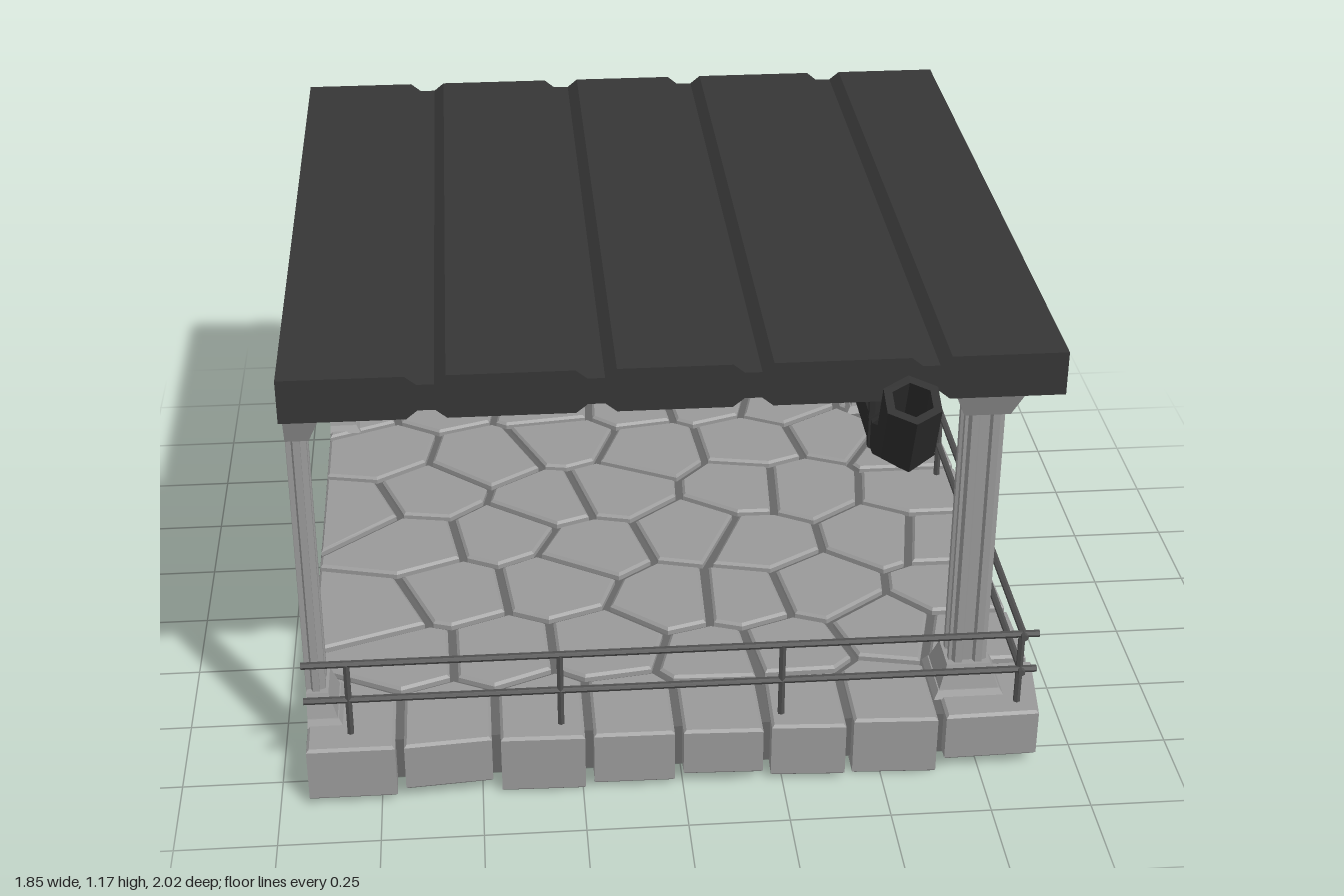
import * as THREE from 'three';

const mat = (name, color, side = THREE.FrontSide) => {
  const m = new THREE.MeshStandardMaterial({ color, side });
  m.name = name;
  return m;
};

export function createModel() {
  const root = new THREE.Group();
  root.name = 'shelter';
  const stone = mat('pale stone', 0x999999);
  const mortar = mat('mortar', 0x666666);
  const panel = mat('dark panel', 0x363636);
  const pipeMat = mat('pipe metal', 0x2c2c2c, THREE.DoubleSide);
  const railMat = mat('rail metal', 0x505050);

  let seed = 11;
  const rnd = () => (seed = (seed * 16807) % 2147483647) / 2147483647;

  const add = (name, geo, material, x = 0, y = 0, z = 0, parent = root) => {
    const g = geo.index ? geo.toNonIndexed() : geo;
    g.computeVertexNormals(); // faceted look
    const m = new THREE.Mesh(g, material);
    m.name = name;
    m.position.set(x, y, z);
    parent.add(m);
    return m;
  };
  const group = (name, x = 0, y = 0, z = 0) => {
    const g = new THREE.Group();
    g.name = name;
    g.position.set(x, y, z);
    root.add(g);
    return g;
  };
  const polygon = pts => new THREE.Shape(pts.map(p => new THREE.Vector2(p[0], p[1])));

  // Panel section with matching grooves in both faces
  const grooved = (x0, x1, low, high, centres, depth) => {
    const notch = (c, y, d) => [[c - 0.047, y], [c - 0.02, y + d], [c + 0.02, y + d], [c + 0.047, y]];
    const bottom = centres.flatMap(c => notch(c, low, depth));
    const top = centres.flatMap(c => notch(c, high, -depth)).reverse();
    return polygon([[x0, low], ...bottom, [x1, low], [x1, high], ...top, [x0, high]]);
  };
  const roof = new THREE.ExtrudeGeometry(
    grooved(-0.93, 0.89, 1.065, 1.175, [-0.592, -0.203, 0.158, 0.57], 0.022), { depth: 1.82, bevelEnabled: false });
  add('roof', roof, panel, 0, 0, -1);
  const wall = new THREE.ExtrudeGeometry(
    grooved(-0.93, 0.2, 0.89, 1, [-0.592, -0.203], 0.022), { depth: 0.935, bevelEnabled: false });
  wall.rotateX(-Math.PI / 2);
  add('backWall', wall, panel, 0, 0.155, 0);

  // Floor slab
  add('floorSlab', new THREE.BoxGeometry(1.79, 0.115, 1.79), mortar, -0.035, 0.0875, -0.105);

  // Paving: cells around seed points, with deep blocks on the front and right edges
  const seeds = [];
  const frontX = [-0.815, -0.585, -0.34, -0.125, 0.105, 0.315, 0.52, 0.78];
  const frontLow = [0.015, 0.032, 0.004, 0.015, 0.032, 0.012, 0, 0.032];
  frontX.forEach((x, i) => seeds.push({ x, z: 0.715, low: frontLow[i] }));
  [0.47, 0.245, -0.02, -0.28, -0.53, -0.83].forEach(z => seeds.push({ x: 0.78, z, low: 0.032 }));
  for (let r = 0; r < 6; r++) for (let c = 0; c < 6; c++) {
    seeds.push({
      x: -0.8 + c * 0.265 + (r % 2 ? 0.06 : -0.03) + (rnd() - 0.5) * 0.13,
      z: -0.87 + r * 0.265 + (rnd() - 0.5) * 0.13,
      low: 0.135,
    });
  }
  const paving = group('paving');
  for (const s of seeds) {
    let poly = [[-0.928, -0.998], [0.925, -0.998], [0.925, 0.85], [-0.928, 0.85]];
    for (const o of seeds) {
      if (o === s) continue;
      const dx = o.x - s.x, dz = o.z - s.z, len = Math.hypot(dx, dz);
      const dist = p => ((p[0] - s.x) * dx + (p[1] - s.z) * dz) / len - len / 2 + 0.011;
      const next = [];
      poly.forEach((a, i) => {
        const b = poly[(i + 1) % poly.length], da = dist(a), db = dist(b);
        if (da <= 0) next.push(a);
        if (da * db < 0) {
          const t = da / (da - db);
          next.push([a[0] + (b[0] - a[0]) * t, a[1] + (b[1] - a[1]) * t]);
        }
      });
      poly = next;
    }
    // Rough outer faces
    poly = poly.map(([x, z]) => [x > 0.92 ? x - rnd() * 0.03 : x, z > 0.845 ? z - rnd() * 0.025 : z]);
    // Drop points that nearly coincide
    poly = poly.filter((p, i) => {
      const q = poly[(i + 1) % poly.length];
      return Math.hypot(p[0] - q[0], p[1] - q[1]) > 0.02;
    });
    const b = 0.007;
    const geo = new THREE.ExtrudeGeometry(polygon(poly.map(([x, z]) => [x, -z])), {
      depth: 0.165 - s.low - 2 * b, bevelSize: b, bevelThickness: b, bevelOffset: -b, bevelSegments: 1,
    });
    geo.rotateX(-Math.PI / 2);
    add(s.low < 0.1 ? 'edgeBlock' : 'flagstone', geo, stone, 0, s.low + b, 0, paving);
  }

  // Columns: fluted shaft, tapered foot and flared capital; half columns at the left edge
  const frustum = (top, bottom, y0, y1) => {
    const g = new THREE.CylinderGeometry(top * Math.SQRT2, bottom * Math.SQRT2, y1 - y0, 4, 1);
    return g.rotateY(Math.PI / 4).translate(0, (y0 + y1) / 2, 0);
  };
  const shaftShape = () => {
    const side = [[0.034, -0.048], [0.034, -0.04], [0.048, -0.034], [0.048, -0.017], [0.036, -0.012], [0.036, 0.012], [0.048, 0.017]];
    const pts = [];
    for (let k = 0; k < 4; k++) {
      const c = Math.round(Math.cos(k * Math.PI / 2)), s = Math.round(Math.sin(k * Math.PI / 2));
      side.slice(2).concat([[0.048, 0.034], [0.04, 0.034]]).forEach(([x, y]) => pts.push([x * c - y * s, x * s + y * c]));
    }
    return polygon(pts);
  };
  const column = (x, z, half) => {
    const g = group('column', x, 0, z);
    const shaft = new THREE.ExtrudeGeometry(shaftShape(), { depth: 0.76, bevelEnabled: false });
    shaft.rotateX(-Math.PI / 2).translate(0, 0.22, 0);
    const parts = [
      ['columnShaft', shaft],
      ['columnFoot', frustum(0.055, 0.075, 0.18, 0.242)],
      ['columnPlinth', frustum(0.078, 0.09, 0.16, 0.18)],
      ['columnCapital', frustum(0.088, 0.056, 0.96, 1.04)],
      ['columnTop', frustum(0.088, 0.088, 1.04, 1.066)],
    ];
    for (const [name, geo] of parts) {
      const p = geo.attributes.position;
      if (half) for (let i = 0; i < p.count; i++) p.setX(i, Math.max(0, p.getX(i)));
      add(name, geo, stone, 0, 0, 0, g);
    }
  };
  for (const z of [0.66, -0.838]) {
    column(0.733, z, false);
    column(-0.928, z, true);
  }

  // Railings along the front and right edges
  const rails = group('railings');
  const rod = () => new THREE.CylinderGeometry(0.009, 0.009, 1, 6);
  for (const y of [0.265, 0.37]) {
    add('frontRail', rod().scale(1, 1.82, 1).rotateZ(Math.PI / 2), railMat, -0.02, y, 0.78, rails);
    add('sideRail', rod().scale(1, 1.8, 1).rotateX(Math.PI / 2), railMat, 0.85, y, -0.1, rails);
  }
  const posts = [[-0.82, 0.78], [-0.3, 0.78], [0.25, 0.78], [0.848, 0.775], [0.85, 0.185], [0.85, -0.36], [0.85, -0.89]];
  for (const [x, z] of posts) add('railPost', rod().scale(1, 0.21, 1), railMat, x, 0.265, z, rails);

  // Six-sided pipe with mitred bends
  const pipeGroup = group('pipe');
  const path = [
    [0.503, 1.14, 0.955], [0.503, 1.005, 0.9], [0.503, 0.962, 0.81], [0.503, 0.962, -0.68], [0.46, 0.962, -0.77],
    [0.37, 0.962, -0.8], [-0.35, 0.962, -0.8], [-0.42, 0.962, -0.76], [-0.443, 0.962, -0.68],
    [-0.443, 0.962, -0.53], [-0.443, 0.935, -0.487], [-0.443, 0.868, -0.487],
  ].map(p => new THREE.Vector3(...p));
  const dir = i => path[i + 1].clone().sub(path[i]).normalize();
  const last = path.length - 1;
  const ringsFor = r => {
    const d0 = dir(0), u = new THREE.Vector3(1, 0, 0), v = new THREE.Vector3().crossVectors(u, d0);
    let ring = [...Array(6)].map((_, k) => {
      const a = (k + 0.5) * Math.PI / 3;
      return path[0].clone().addScaledVector(u, Math.cos(a) * r).addScaledVector(v, Math.sin(a) * r);
    });
    const rings = [ring];
    for (let i = 1; i <= last; i++) {
      const d = dir(i - 1), n = i < last ? d.clone().add(dir(i)).normalize() : d;
      ring = ring.map(p => p.clone().addScaledVector(d, path[i].clone().sub(p).dot(n) / d.dot(n)));
      rings.push(ring);
    }
    return rings;
  };
  const skin = rings => {
    const out = [];
    for (let i = 0; i + 1 < rings.length; i++) for (let k = 0; k < 6; k++) {
      const j = (k + 1) % 6, a = rings[i][k], b = rings[i][j], c = rings[i + 1][j], d = rings[i + 1][k];
      [a, d, b, b, d, c].forEach(p => out.push(p.x, p.y, p.z));
    }
    const g = new THREE.BufferGeometry();
    g.setAttribute('position', new THREE.Float32BufferAttribute(out, 3));
    return g;
  };
  const outer = ringsFor(0.072), inner = ringsFor(0.05);
  add('pipeOuter', skin(outer), pipeMat, 0, 0, 0, pipeGroup);
  add('pipeInner', skin(inner), pipeMat, 0, 0, 0, pipeGroup);
  for (const i of [0, last]) add('pipeRim', skin([outer[i], inner[i]]), pipeMat, 0, 0, 0, pipeGroup);

  // Pipe collars and roof hangers on both straight runs
  const band = (r, width, alongX) => {
    const g = new THREE.CylinderGeometry(r, r, width, 6).rotateX(Math.PI / 2);
    return alongX ? g.rotateY(Math.PI / 2) : g;
  };
  const openBand = (name, r, w, alongX, at) => add(name, band(r, w, alongX), pipeMat,
    alongX ? at : 0.503, 0.962, alongX ? -0.8 : at, pipeGroup);
  for (const z of [0.285, -0.165, -0.59]) openBand('pipeCollar', 0.082, 0.036, false, z);
  for (const x of [0.295, -0.2]) openBand('pipeCollar', 0.082, 0.036, true, x);
  const hanger = (alongX, at) => {
    openBand('hangerStrap', 0.078, 0.018, alongX, at);
    for (const s of [-0.06, 0.06]) {
      add('hangerBar', new THREE.BoxGeometry(0.014, 0.11, 0.014), pipeMat,
        alongX ? at : 0.503 + s, 1.012, alongX ? -0.8 + s : at, pipeGroup);
    }
  };
  for (const z of [0.775, -0.65]) hanger(false, z);
  for (const x of [0.365, -0.31]) hanger(true, x);

  return root;
}
